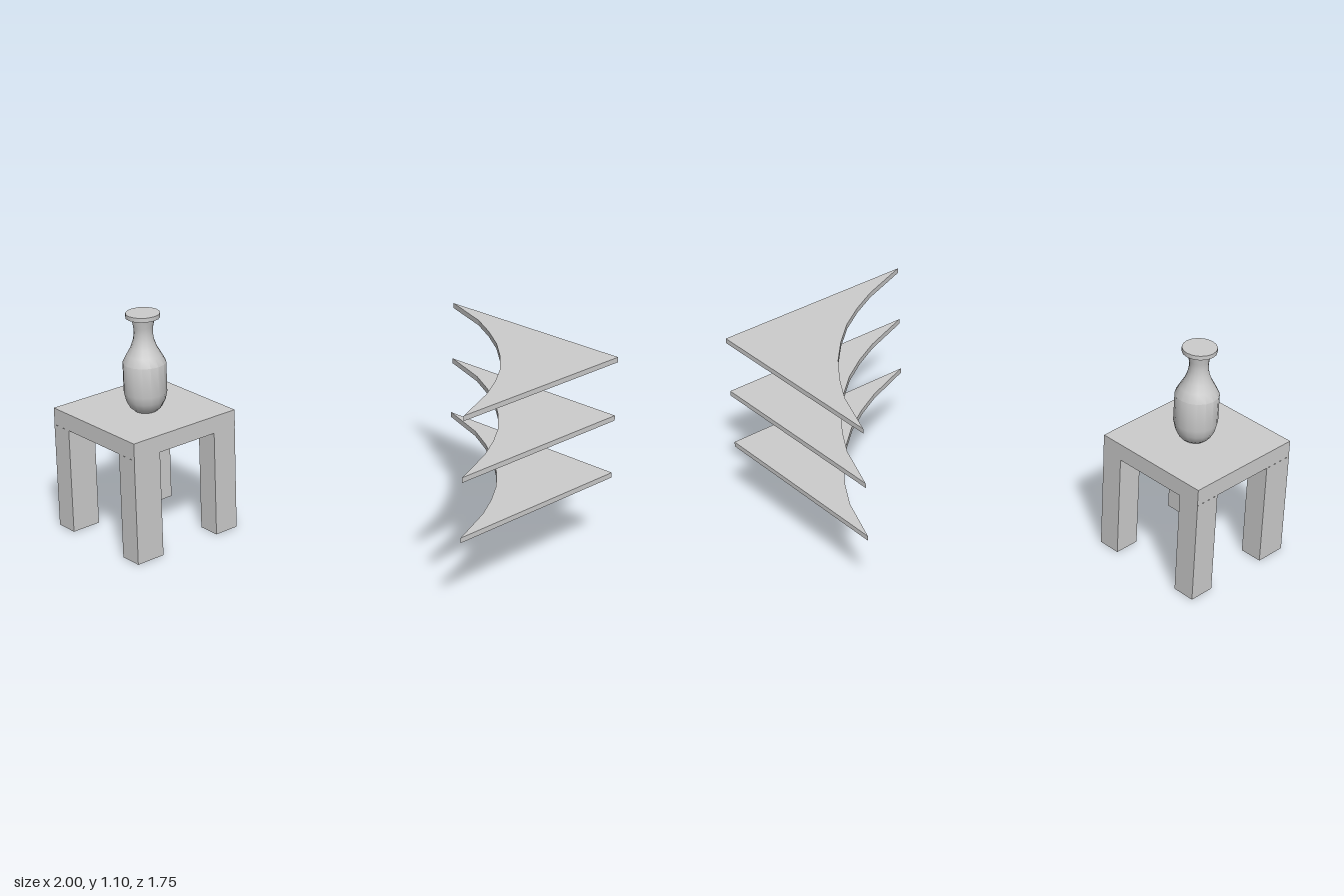
import * as THREE from 'three';
import { toCreasedNormals } from 'three/addons/utils/BufferGeometryUtils.js';

const grey = new THREE.MeshStandardMaterial({ color: 0xcccccc });
const openGrey = new THREE.MeshStandardMaterial({ color: 0xcccccc, flatShading: true, side: THREE.DoubleSide });

function add(parent, name, geometry, x, y, z, material = grey) {
  const mesh = new THREE.Mesh(geometry, material);
  mesh.name = name;
  mesh.position.set(x, y, z);
  parent.add(mesh);
  return mesh;
}

// Square table: slab on four hollow legs that are open at the floor
function createTable() {
  const table = new THREE.Group();
  table.name = 'table';
  const under = 0.53, top = 0.615;
  add(table, 'tableTop', new THREE.BoxGeometry(0.611, top - under, 0.611), -0.694, (top + under) / 2, 0.568);
  for (const [x0, x1] of [[-1, -0.887], [-0.502, -0.389]]) {
    for (const [z0, z1] of [[0.263, 0.392], [0.722, 0.874]]) {
      const leg = new THREE.CylinderGeometry(Math.SQRT1_2, Math.SQRT1_2, 1, 4, 1, true)
        .rotateY(Math.PI / 4)
        .scale(x1 - x0, under, z1 - z0);
      add(table, 'tableLeg', leg, (x0 + x1) / 2, under / 2, (z0 + z1) / 2, openGrey);
    }
  }
  return table;
}

// Vase: turned profile with a rounded foot, straight belly, waisted neck and flat rim
function createVase() {
  const profile = [
    [0, 0], [0.055, 0], [0.076, 0.018], [0.095, 0.055], [0.104, 0.095], [0.104, 0.242],
    [0.083, 0.282], [0.063, 0.318], [0.05, 0.355], [0.045, 0.39], [0.047, 0.42], [0.057, 0.466],
    [0.082, 0.466], [0.082, 0.487], [0, 0.487],
  ].map(([r, y]) => new THREE.Vector2(r, y));
  return toCreasedNormals(new THREE.LatheGeometry(profile, 16), 0.5);
}

// Corner shelf: two straight wall edges and a concave front edge
function createShelf() {
  const edge = [
    [-0.04, -0.874], [0.216, -0.778], [0.355, -0.698], [0.495, -0.6], [0.618, -0.489],
    [0.73, -0.366], [0.82, -0.233], [0.896, -0.094], [1, 0.163],
  ];
  const outline = [...edge, [1, -0.874]].map(([x, z]) => new THREE.Vector2(x, -z));
  return new THREE.ExtrudeGeometry(new THREE.Shape(outline), { depth: 0.025, bevelEnabled: false })
    .rotateX(-Math.PI / 2);
}

export function createModel() {
  const model = new THREE.Group();
  model.name = 'tableVaseAndShelves';
  model.add(createTable());
  add(model, 'vase', createVase(), -0.682, 0.615, 0.565);

  const shelves = new THREE.Group();
  shelves.name = 'cornerShelves';
  const shelf = createShelf();
  for (let i = 0; i < 3; i++) add(shelves, 'cornerShelf', shelf, 0, 0.362 + i * 0.29, 0);
  model.add(shelves);
  return model;
}
